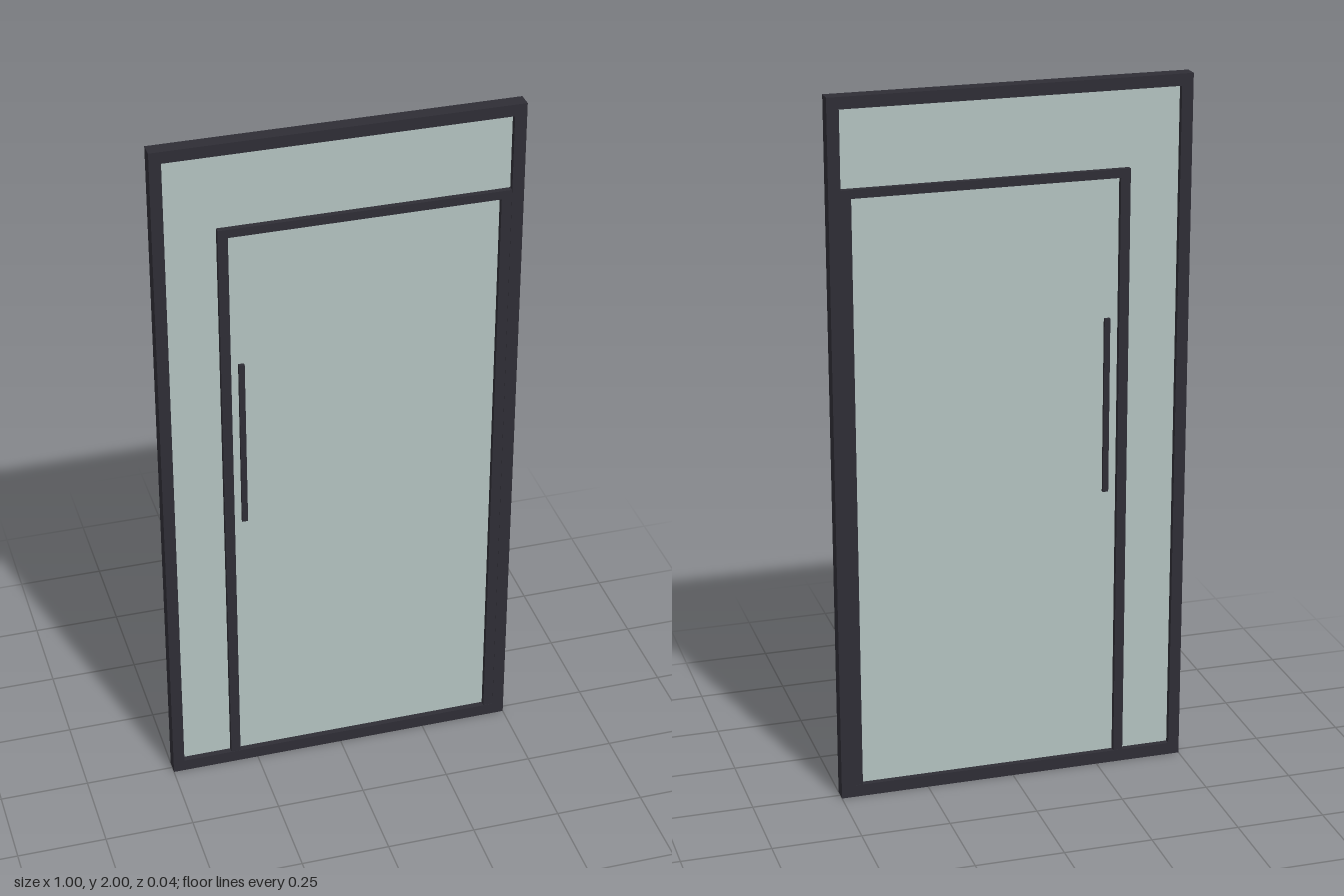
import * as THREE from 'three';

export function createModel() {
  const group = new THREE.Group();
  const metal = new THREE.MeshStandardMaterial({ color: 0x2e2d35 });
  metal.name = 'darkMetal';
  const glass = new THREE.MeshStandardMaterial({ color: 0xb2c1bf });
  glass.name = 'paleGlass';

  // Box given by its edges in x and y, centred on z = 0
  const box = (name, x0, x1, y0, y1, depth, material) => {
    const mesh = new THREE.Mesh(new THREE.BoxGeometry(x1 - x0, y1 - y0, depth), material);
    mesh.position.set((x0 + x1) / 2, (y0 + y1) / 2, 0);
    mesh.name = name;
    group.add(mesh);
  };

  // Rectangular ring as one extruded shape with openings [x0, x1, y0, y1]
  const rect = (path, x0, x1, y0, y1) =>
    path.moveTo(x0, y0).lineTo(x1, y0).lineTo(x1, y1).lineTo(x0, y1).closePath();
  const shape = rect(new THREE.Shape(), -0.5, 0.5, 0, 2);
  shape.holes.push(rect(new THREE.Path(), -0.468, 0.467, 0.035, 1.967));
  const depth = 0.042;
  const frameGeometry = new THREE.ExtrudeGeometry(shape, { depth, bevelEnabled: false });
  frameGeometry.translate(0, 0, -depth / 2);
  const frame = new THREE.Mesh(frameGeometry, metal);
  frame.name = 'outerFrame';
  group.add(frame);

  // Door surround inside the frame
  box('latchPost', -0.328, -0.301, 0.035, 1.752, 0.04, metal);
  box('transomBar', -0.301, 0.467, 1.728, 1.752, 0.04, metal);
  box('hingeStile', 0.439, 0.467, 0.035, 1.728, 0.04, metal);

  // Glazing: side light, top light and door leaf
  box('sideGlass', -0.468, -0.328, 0.035, 1.752, 0.008, glass);
  box('topGlass', -0.468, 0.467, 1.752, 1.967, 0.008, glass);
  box('doorGlass', -0.301, 0.439, 0.035, 1.728, 0.008, glass);

  // Pull bar showing on both faces of the door
  box('pullHandle', -0.278, -0.262, 0.832, 1.335, 0.026, metal);

  return group;
}
